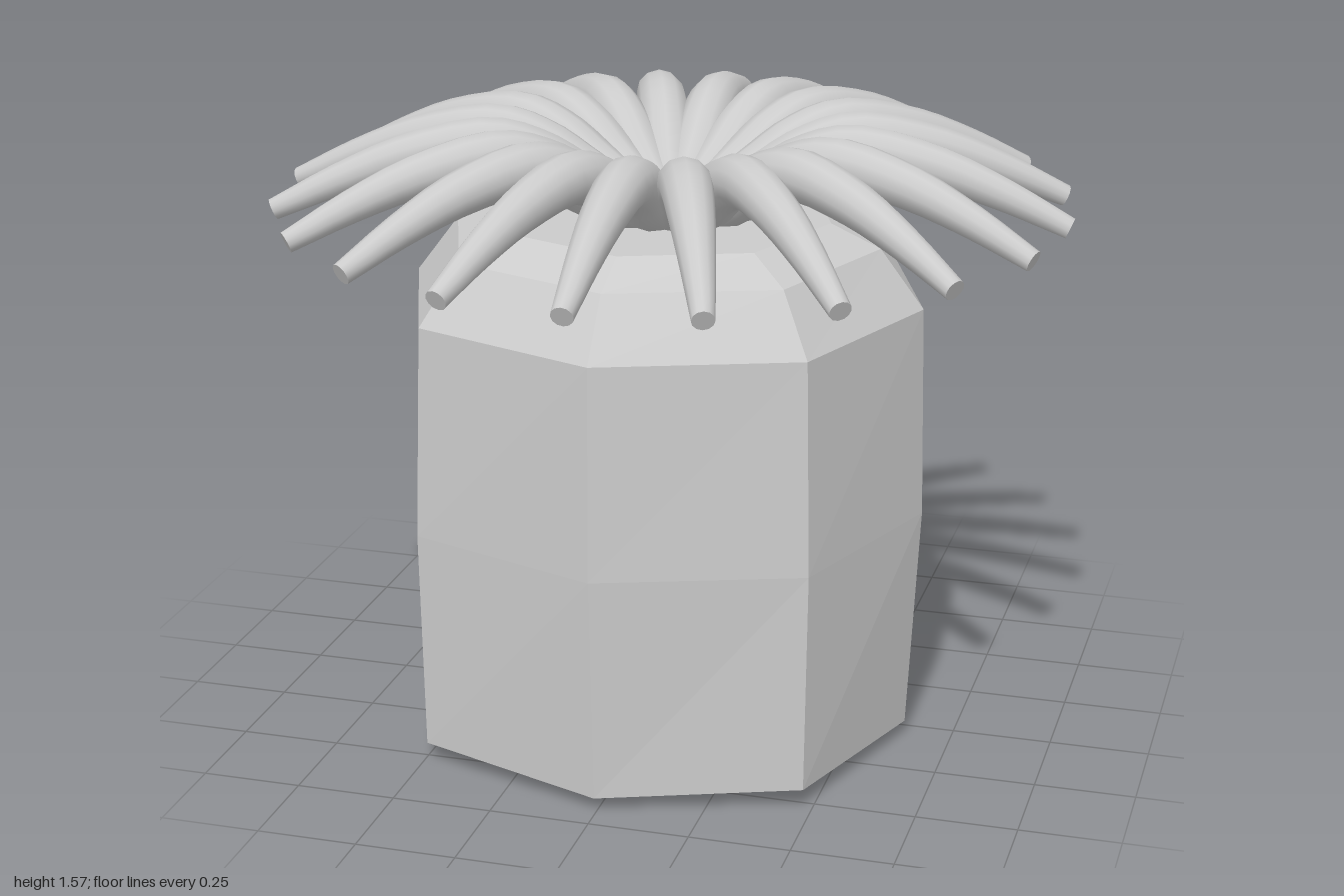
import * as THREE from 'three';
import { toCreasedNormals } from 'three/addons/utils/BufferGeometryUtils.js';

const grey = new THREE.MeshStandardMaterial({ color: 0xcccccc });
const flatGrey = new THREE.MeshStandardMaterial({ color: 0xcccccc, flatShading: true });

// Surface joining closed rings of points, from the first ring to the last
function skin(rings) {
  const n = rings[0].length, index = [];
  for (let j = 0; j < rings.length - 1; j++) {
    for (let i = 0; i < n; i++) {
      const a = j * n + i, b = j * n + (i + 1) % n;
      index.push(a, a + n, b, b, a + n, b + n);
    }
  }
  const g = new THREE.BufferGeometry();
  g.setAttribute('position', new THREE.Float32BufferAttribute(rings.flat(2), 3));
  g.setIndex(index);
  g.computeVertexNormals();
  return g;
}

// Eight-sided barrel: [y on axis, y on diagonal, radius on axis, radius on diagonal]
function barrelGeometry() {
  const levels = [
    [0, 0, 0, 0], [0.035, 0.05, 0.637, 0.685], [0.61, 0.61, 0.666, 0.695],
    [1.14, 1.14, 0.655, 0.675], [1.285, 1.285, 0.545, 0.565],
    [1.34, 1.34, 0.42, 0.43], [1.34, 1.34, 0, 0],
  ];
  return skin(levels.map(([yA, yD, rA, rD]) => Array.from({ length: 8 }, (_, i) => {
    const a = i * Math.PI / 4, r = i % 2 ? rD : rA;
    return [r * Math.cos(a), i % 2 ? yD : yA, r * Math.sin(a)];
  })));
}

// Tapered arm in the x-y plane; each station holds reach, height and thickness
function tentacleGeometry() {
  const spine = new THREE.CatmullRomCurve3([
    [0, 1.34, 0.045], [0.12, 1.36, 0.058], [0.23, 1.41, 0.068], [0.33, 1.473, 0.067],
    [0.45, 1.511, 0.064], [0.65, 1.482, 0.054], [0.82, 1.424, 0.041], [0.987, 1.35, 0.027],
  ].map(p => new THREE.Vector3(...p)));
  const sides = 12, steps = 22, rings = [];
  for (let j = 0; j <= steps + 1; j++) {
    const t = Math.min(j / steps, 1);
    const p = spine.getPoint(t), d = spine.getTangent(t);
    const len = Math.hypot(d.x, d.y), radius = j > steps ? 0 : p.z;
    rings.push(Array.from({ length: sides }, (_, i) => {
      const a = -i * 2 * Math.PI / sides;
      const up = radius * Math.cos(a), side = radius * Math.sin(a);
      return [p.x - up * d.y / len, p.y + up * d.x / len, side];
    }));
  }
  return toCreasedNormals(skin(rings), Math.PI / 4);
}

export function createModel() {
  const model = new THREE.Group();

  const body = new THREE.Mesh(barrelGeometry(), flatGrey);
  body.name = 'barrelBody';
  body.position.set(-0.006, 0, 0.048);
  model.add(body);

  // Crown of arms spreading from the centre of the lid
  const crown = new THREE.Group();
  crown.name = 'tentacleCrown';
  const arm = tentacleGeometry();
  for (let i = 0; i < 20; i++) {
    const tentacle = new THREE.Mesh(arm, grey);
    tentacle.name = 'tentacle' + (i + 1);
    tentacle.rotation.y = THREE.MathUtils.degToRad(i * 18 + 1.6);
    crown.add(tentacle);
  }
  model.add(crown);
  return model;
}
